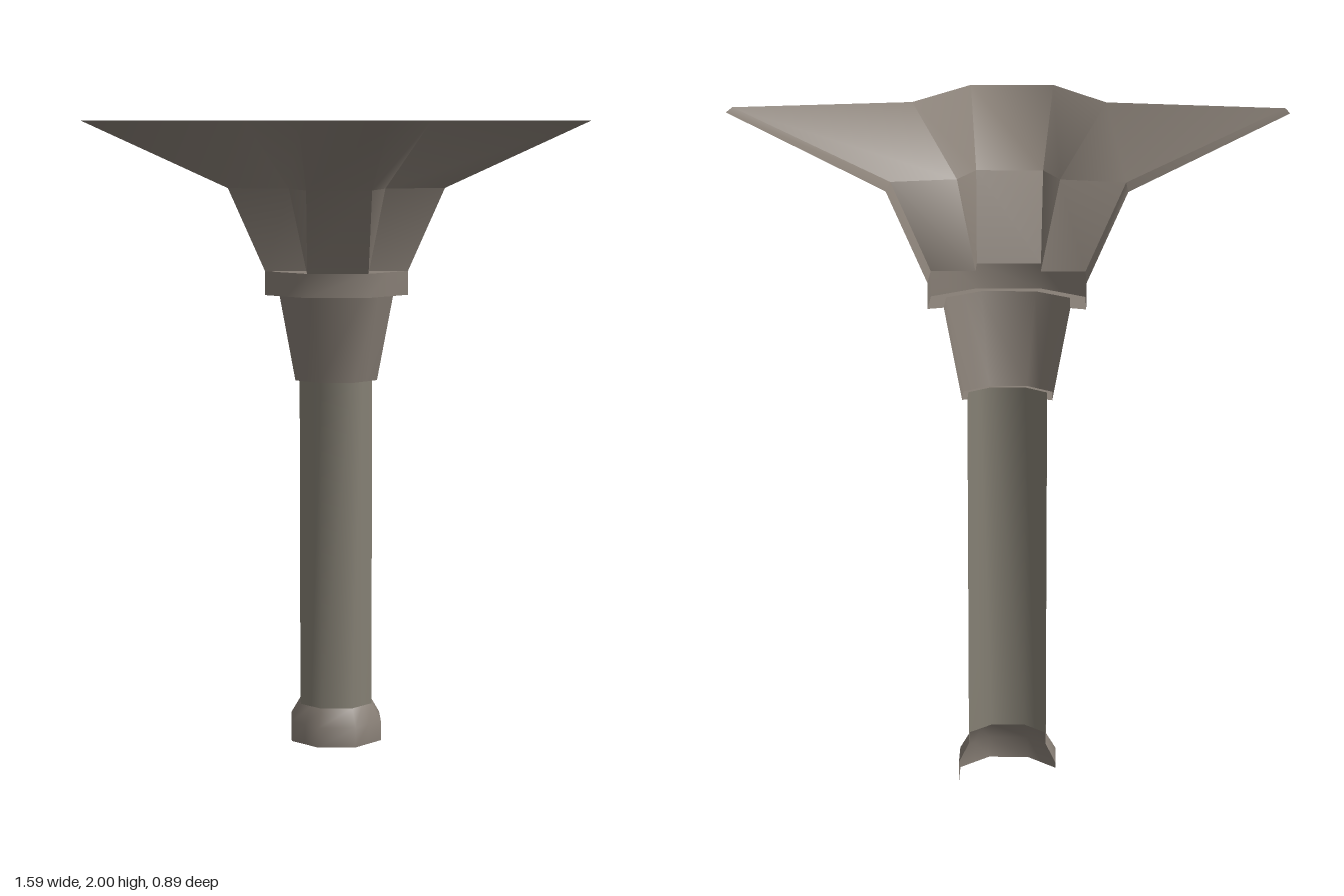
import * as THREE from 'three';
import { toCreasedNormals } from 'three/addons/utils/BufferGeometryUtils.js';

// Mirror a half outline of [x, z] points (back edge to front) into a full open ring at height y
function ring(y, half) {
  const right = half.map(([x, z]) => new THREE.Vector3(x, y, z));
  const left = half.map(([x, z]) => new THREE.Vector3(-x, y, z)).reverse();
  return [...right, ...left];
}

// Half octagon, open at the back: half width w, back z, front z, corner cut c
function octagon(y, w, back, front, c) {
  const cut = [[w, back], [w, front - c], [w - c / 2, front - c / 2], [w - c, front]];
  return ring(y, cut);
}

// Skin a stack of rings with outward faces, leaving out empty triangles
function loft(rings, crease = 1.0) {
  const pos = [];
  const tri = (a, b, c) => {
    const area = b.clone().sub(a).cross(c.clone().sub(a)).length();
    if (area > 1e-7) for (const p of [a, b, c]) pos.push(p.x, p.y, p.z);
  };
  for (let r = 0; r < rings.length - 1; r++) {
    const lo = rings[r], hi = rings[r + 1];
    for (let i = 0; i < lo.length - 1; i++) {
      tri(lo[i], hi[i], lo[i + 1]);
      tri(lo[i + 1], hi[i], hi[i + 1]);
    }
  }
  const geo = new THREE.BufferGeometry();
  geo.setAttribute('position', new THREE.Float32BufferAttribute(pos, 3));
  return toCreasedNormals(geo, crease);
}

export function createModel() {
  const group = new THREE.Group();
  const stone = new THREE.MeshStandardMaterial({ color: 0x877e75, side: THREE.DoubleSide });
  stone.name = 'warm grey stone';
  const shaftStone = new THREE.MeshStandardMaterial({ color: 0x858074, side: THREE.DoubleSide });
  shaftStone.name = 'shaft stone';

  const add = (name, rings, material) => {
    const mesh = new THREE.Mesh(loft(rings), material);
    mesh.name = name;
    group.add(mesh);
  };

  const shaftBottom = octagon(0.12, 0.115, -0.395, -0.24, 0.065);
  const shaftTop = octagon(1.18, 0.115, -0.395, -0.24, 0.065);
  const capitalTop = octagon(1.455, 0.18, -0.425, -0.17, 0.1);
  const collarTop = octagon(1.53, 0.225, -0.445, -0.125, 0.13);

  // Foot with a sloping shoulder
  add('base', [
    octagon(0, 0.145, -0.41, -0.205, 0.085),
    octagon(0.065, 0.145, -0.41, -0.205, 0.085),
    shaftBottom,
  ], stone);

  add('shaft', [shaftBottom, shaftTop], shaftStone);

  // Tapered block, wider at the top, with a narrow ledge below
  add('capital', [shaftTop, octagon(1.18, 0.13, -0.402, -0.22, 0.075), capitalTop], stone);

  // Straight band with a ledge below
  add('collar', [capitalTop, octagon(1.455, 0.225, -0.445, -0.125, 0.13), collarTop], stone);

  // Vault springing in three arms, with a hollow corner between neighbouring arms
  const springing = ring(1.53, [[0.225, -0.445], [0.225, -0.255], [0.095, -0.255], [0.095, -0.125]]);
  const haunch = ring(1.79, [[0.34, -0.445], [0.34, -0.255], [0.15, -0.195], [0.1, 0]]);
  const crown = ring(2, [[0.795, -0.355], [0.795, -0.22], [0.285, -0.07], [0.13, 0.445]]);
  add('collarLedges', [collarTop, springing], stone);
  add('vault', [springing, haunch, crown], stone);

  return group;
}
